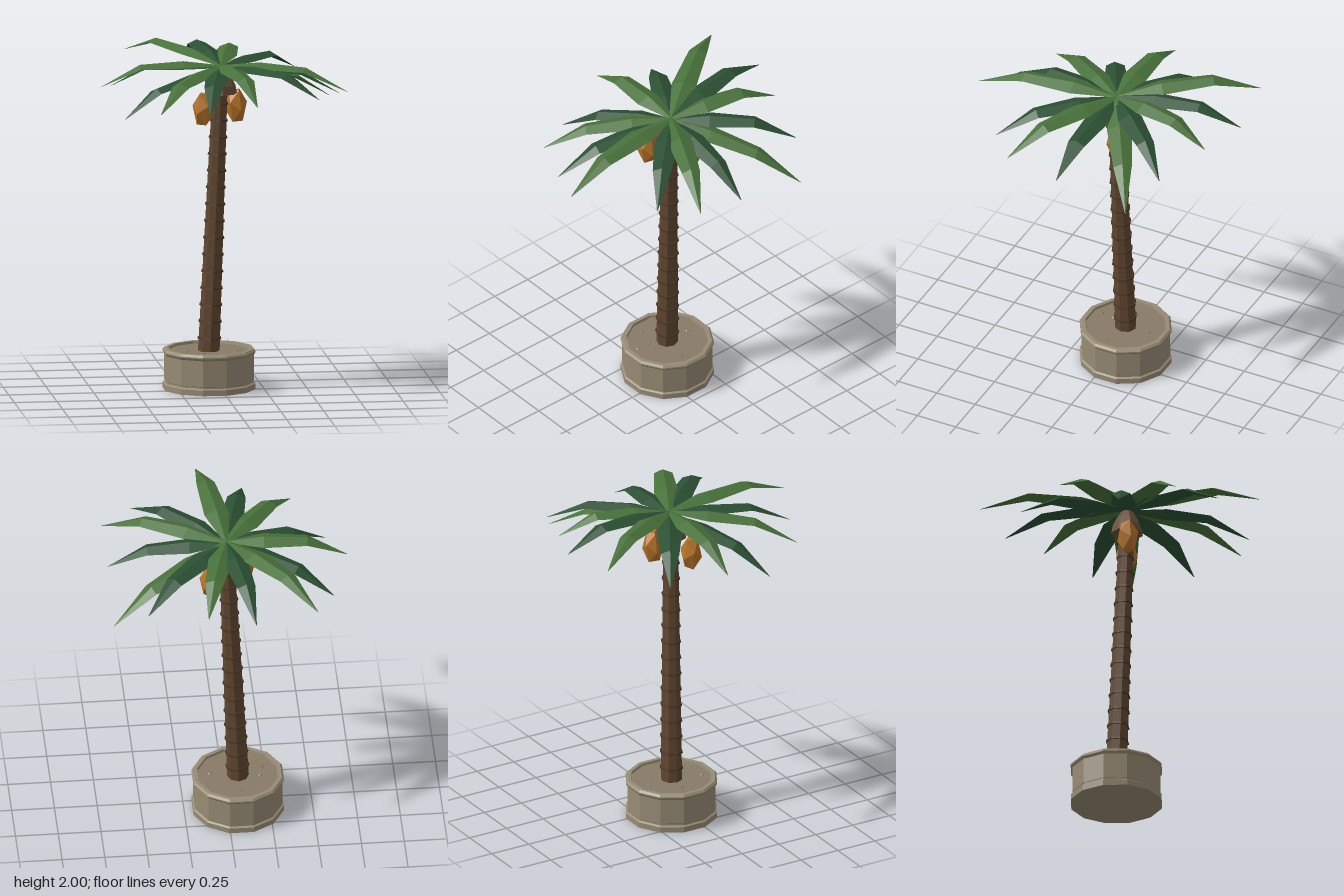
import * as THREE from 'three';

const mat = (name, color, side = THREE.FrontSide) => {
  const m = new THREE.MeshStandardMaterial({ color, side, flatShading: true });
  m.name = name;
  return m;
};

export function createModel() {
  const stone = mat('stone', 0x978b74);
  const soil = mat('soil', 0x877a66);
  const bark = mat('bark', 0x614730);
  const collar = mat('darkBark', 0x4c3826);
  const fibre = mat('crownFibre', 0x6b4f38);
  const fruit = mat('fruit', 0xb87428);
  const lightLeaf = mat('lightLeaf', 0x48713a, THREE.DoubleSide);
  const darkLeaf = mat('darkLeaf', 0x2b5033, THREE.DoubleSide);

  const model = new THREE.Group();
  model.name = 'pottedPalm';
  const add = (name, geometry, material, x = 0, y = 0, z = 0, parent = model) => {
    const mesh = new THREE.Mesh(geometry, material);
    mesh.name = name;
    mesh.position.set(x, y, z);
    parent.add(mesh);
    return mesh;
  };

  // Twelve-sided pot: plinth, groove, wall, chamfered rim and recessed soil
  const pot = new THREE.Group();
  pot.name = 'pot';
  pot.position.set(-0.065, 0, -0.07);
  pot.rotation.y = Math.PI / 12;
  model.add(pot);
  const potProfile = [
    [0, 0], [0.273, 0], [0.273, 0.033], [0.262, 0.04], [0.262, 0.05], [0.264, 0.052],
    [0.264, 0.205], [0.274, 0.218], [0.274, 0.226], [0.263, 0.238], [0.24, 0.238], [0.235, 0.215],
  ].map(([r, y]) => new THREE.Vector2(r, y));
  add('potShell', new THREE.LatheGeometry(potProfile, 12), stone, 0, 0, 0, pot);
  add('soil', new THREE.CylinderGeometry(0.238, 0.238, 0.02, 12), soil, 0, 0.213, 0, pot);

  // Pebbles half sunk in the soil
  [[-0.145, 0.07], [-0.13, -0.01], [-0.05, 0.18], [-0.043, 0.1], [0.16, 0.03], [0, -0.15]]
    .forEach(([x, z], i) => {
      const p = add('pebble', new THREE.DodecahedronGeometry(0.013), soil, x - 0.065, 0.223, z - 0.07);
      p.scale.y = 0.5;
      p.rotation.y = i;
    });

  // Leaning trunk of tapered segments with a collar at each joint
  const base = new THREE.Vector3(-0.067, 0.2, -0.07);
  const top = new THREE.Vector3(-0.004, 1.79, -0.037);
  const lean = new THREE.Quaternion().setFromUnitVectors(
    new THREE.Vector3(0, 1, 0), top.clone().sub(base).normalize());
  const radiusAt = (t) => THREE.MathUtils.lerp(0.064, 0.044, t);
  const trunk = new THREE.Group();
  trunk.name = 'trunk';
  model.add(trunk);
  const length = top.distanceTo(base);
  const segments = 16;
  for (let i = 0; i < segments; i++) {
    const a = i / segments, b = (i + 1) / segments;
    const mid = base.clone().lerp(top, (a + b) / 2);
    const piece = add('trunkSegment',
      new THREE.CylinderGeometry(radiusAt(b), radiusAt(a), length / segments, 8, 1, true),
      bark, mid.x, mid.y, mid.z, trunk);
    piece.quaternion.copy(lean);
    if (i === segments - 1) continue;
    const joint = base.clone().lerp(top, b);
    const ring = add('trunkCollar',
      new THREE.CylinderGeometry(radiusAt(b) + 0.005, radiusAt(b) + 0.008, 0.014, 8),
      collar, joint.x, joint.y, joint.z, trunk);
    ring.quaternion.copy(lean);
  }

  // Fibrous dome under the leaves
  const dome = [[0, 1.75], [0.095, 1.75], [0.085, 1.8], [0.06, 1.85], [0.035, 1.89], [0, 1.9]]
    .map(([r, y]) => new THREE.Vector2(r, y));
  add('crownDome', new THREE.LatheGeometry(dome, 8), fibre, 0, 0, -0.037);

  // Two faceted hanging fruits
  [[-0.112, 1.672, 0.037, 0.3], [0.097, 1.665, -0.097, 1.4]].forEach(([x, y, z, turn]) => {
    const g = new THREE.IcosahedronGeometry(0.065);
    g.rotateX(0.35).rotateY(turn).scale(1, 1.78, 1);
    add('fruit', g, fruit, x, y, z);
  });

  // A frond is a folded strip: ridge along the middle, edges lower, pointed tip
  const heart = new THREE.Vector3(0, 1.9, -0.045);
  const frond = (x, y, z) => {
    const droop = y - 1.81;
    const dx = x - heart.x, dz = z - heart.z, len = Math.hypot(dx, dz);
    const sections = [ // position along frond, ridge height, half width, fold depth
      [0, heart.y + 0.01, 0.012, 0.004],
      [0.31, 1.945 + droop * 0.4, 0.073, 0.03],
      [0.67, 1.935 + droop * 0.75, 0.054, 0.022],
      [1, y, 0.002, 0.001],
    ];
    const pos = [], index = [];
    sections.forEach(([t, h, w, fold], i) => {
      for (const s of [-1, 0, 1]) {
        pos.push(heart.x + dx * t + (dz / len) * w * s,
          h - Math.abs(s) * fold,
          heart.z + dz * t - (dx / len) * w * s);
      }
      if (i === 0) return;
      for (let k = 0; k < 2; k++) {
        const a = (i - 1) * 3 + k, b = a + 3;
        index.push(a, a + 1, b, a + 1, b + 1, b);
      }
    });
    // Wind every face upwards
    for (let i = 0; i < index.length; i += 3) {
      const [p, q, r] = [0, 1, 2].map((k) => new THREE.Vector3().fromArray(pos, index[i + k] * 3));
      if (q.sub(p).cross(r.sub(p)).y < 0) [index[i + 1], index[i + 2]] = [index[i + 2], index[i + 1]];
    }
    const g = new THREE.BufferGeometry();
    g.setAttribute('position', new THREE.Float32BufferAttribute(pos, 3));
    g.setIndex(index);
    g.computeVertexNormals();
    return g;
  };

  // Frond tips around the crown, alternating dark and light
  const crown = new THREE.Group();
  crown.name = 'crown';
  model.add(crown);
  [
    [-0.11, 1.86, -0.8], [0.16, 1.845, -0.7], [0.5, 1.81, -0.575], [0.69, 1.645, -0.45],
    [0.69, 1.75, 0], [0.7, 1.8, 0.315], [0.51, 1.8, 0.485], [0.105, 1.81, 0.8],
    [-0.155, 1.755, 0.68], [-0.43, 1.735, 0.565], [-0.605, 1.67, 0.275], [-0.705, 1.79, -0.07],
    [-0.6, 1.75, -0.395], [-0.475, 1.89, -0.745],
  ].forEach(([x, y, z], i) => {
    const light = i % 2 === 1;
    const leaf = add(light ? 'lightFrond' : 'darkFrond', frond(x, y, z), light ? lightLeaf : darkLeaf, 0, 0, 0, crown);
    // Dark fronds sit slightly below the light ones
    leaf.position.y = light || i === 0 ? 0.004 : -0.008;
  });

  return model;
}
